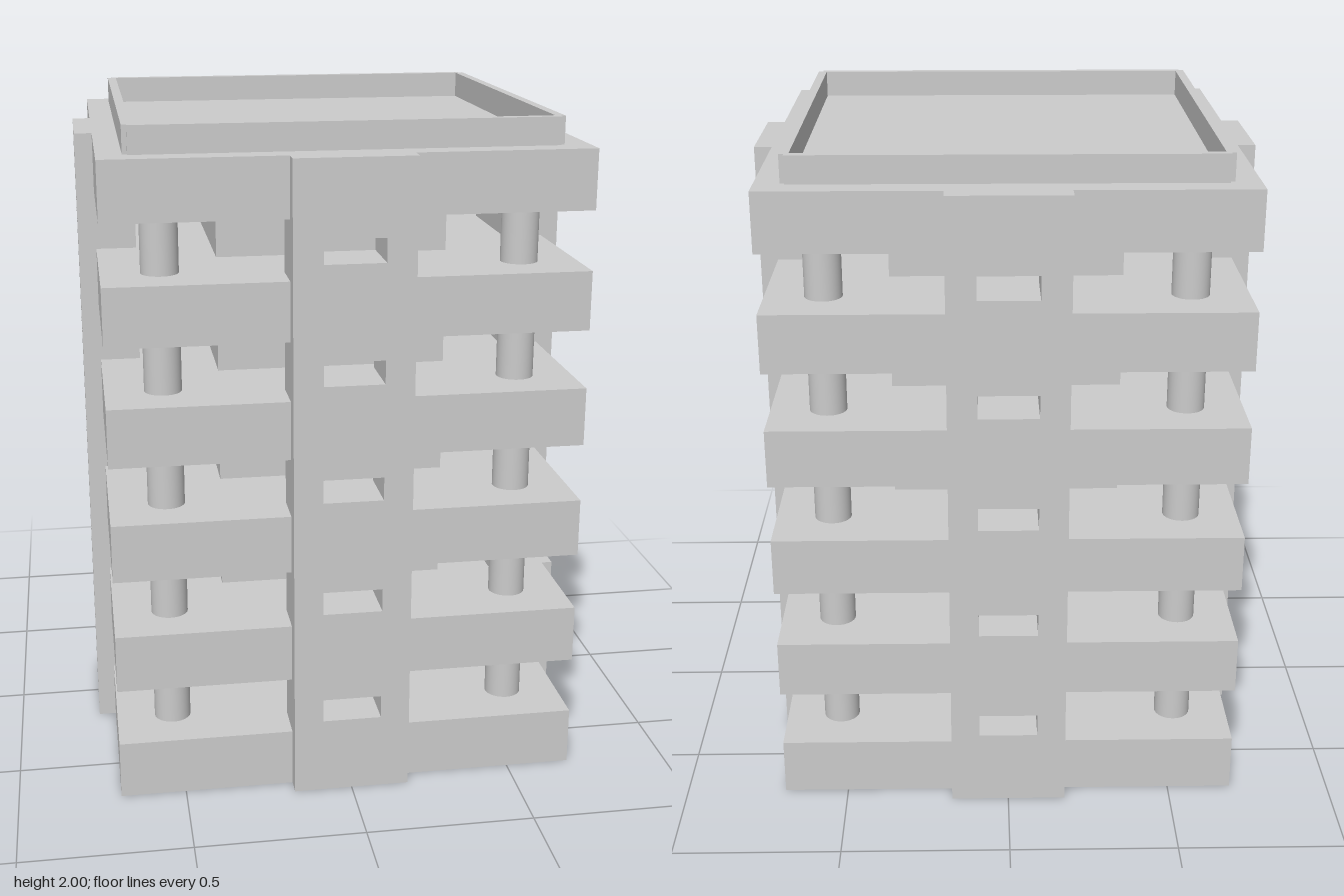
import * as THREE from 'three';

const H = 0.1745;        // half a storey: slab height and gap height
const TOP = 11 * H;      // roof level
const SLAB = 0.695;      // slab half-width
const material = new THREE.MeshStandardMaterial({ color: 0xcccccc, side: THREE.DoubleSide });

const polygon = (points) => new THREE.Shape(points.map(([x, y]) => new THREE.Vector2(x, y)));
const rect = (x0, x1, y0, y1) => [[x0, y0], [x1, y0], [x1, y1], [x0, y1]];
const extrude = (shape, depth) => new THREE.ExtrudeGeometry(shape, { depth, bevelEnabled: false });

// Extrude a plan outline upwards from height y
const plan = (shape, y, height) => extrude(shape, height).rotateX(-Math.PI / 2).translate(0, y, 0);

export function createModel() {
  const group = new THREE.Group();
  const add = (name, geometry) => {
    const mesh = new THREE.Mesh(geometry, material);
    mesh.name = name;
    group.add(mesh);
  };

  // Floor slabs; the lowest two are cut back behind the gateway
  const square = rect(-SLAB, SLAB, -SLAB, SLAB);
  const notched = [
    [-SLAB, -SLAB], [SLAB, -SLAB], [SLAB, -0.345], [0.515, -0.345],
    [0.515, 0.345], [SLAB, 0.345], [SLAB, SLAB], [-SLAB, SLAB],
  ];
  for (let i = 0; i < 6; i++) {
    add(`floorSlab${i + 1}`, plan(polygon(i < 2 ? notched : square), 2 * i * H, H));
  }

  // Central core
  add('core', new THREE.BoxGeometry(0.695, TOP - 0.02, 0.695).translate(0, TOP / 2, 0));

  // Round corner columns
  for (const x of [-0.525, 0.525]) {
    for (const z of [-0.525, 0.525]) {
      add('cornerColumn', new THREE.CylinderGeometry(0.055, 0.055, TOP - 0.04, 32).translate(x, TOP / 2, z));
    }
  }

  // Windowed piers in the middle of each side; the left one starts above the gateway
  ['frontPier', 'leftPier', 'backPier', 'rightPier'].forEach((name, side) => {
    const first = side === 1 ? 1 : 0;
    const shape = polygon(rect(-0.174, 0.174, first ? 3 * H : 0, TOP));
    for (let i = first; i < 5; i++) {
      const y = (2 * i + 1.52) * H;
      shape.holes.push(polygon(rect(-0.088, 0.088, y - 0.035, y + 0.035)));
    }
    add(name, extrude(shape, 0.173).translate(0, 0, 0.575).rotateY(side * Math.PI / 2));
  });

  // Entrance gateway
  const gate = polygon([
    [-0.345, 0], [-0.175, 0], [-0.175, 2 * H + 0.004], [0.175, 2 * H + 0.004],
    [0.175, 0], [0.345, 0], [0.345, 3 * H], [-0.345, 3 * H],
  ]);
  add('gateway', extrude(gate, 0.143).translate(0, 0, 0.585).rotateY(Math.PI / 2));

  // Roof parapet with stepped corners
  const a = 0.622, b = 0.608;
  const parapet = polygon([
    [b, -b], [a, -b], [a, b], [b, b], [b, a], [-b, a],
    [-b, b], [-a, b], [-a, -b], [-b, -b], [-b, -a], [b, -a],
  ]);
  parapet.holes.push(polygon(rect(-0.595, 0.595, -0.595, 0.595)));
  add('roofParapet', plan(parapet, TOP, 2 - TOP));

  return group;
}
